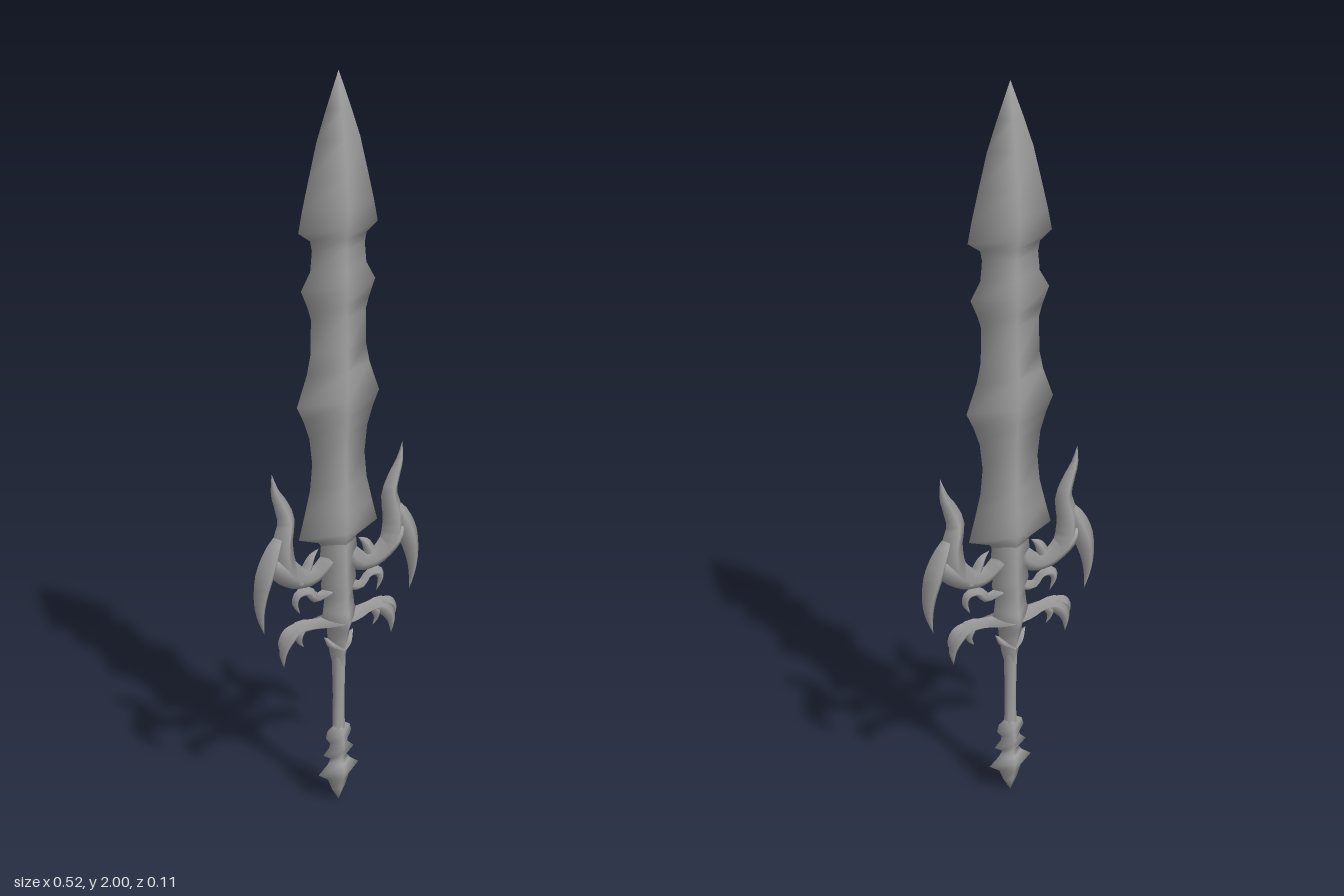
import * as THREE from 'three';
import { mergeVertices } from 'three/addons/utils/BufferGeometryUtils.js';

const steel = new THREE.MeshStandardMaterial({ color: 0xa0a0a0 });
steel.name = 'steel';

// Skins smooth rings around a spine of [x, y, halfWidth, halfDepth] stations.
function loft(stations, sides = 4) {
  const pos = [], index = [];
  stations.forEach(([x, y, w, d], i) => {
    const a = stations[Math.max(i - 1, 0)];
    const b = stations[Math.min(i + 1, stations.length - 1)];
    const t = new THREE.Vector2(b[0] - a[0], b[1] - a[1]).normalize();
    for (let k = 0; k < sides; k++) {
      const u = (k / sides) * Math.PI * 2;
      const c = Math.cos(u) * w;
      pos.push(x + t.y * c, y - t.x * c, Math.sin(u) * d);
      if (i === 0) continue;
      const n = (k + 1) % sides, lo = (i - 1) * sides, hi = i * sides;
      index.push(lo + n, lo + k, hi + k, lo + n, hi + k, hi + n);
    }
  });
  const g = new THREE.BufferGeometry();
  g.setAttribute('position', new THREE.Float32BufferAttribute(pos, 3));
  g.setIndex(index);
  const merged = mergeVertices(g, 1e-5);
  merged.computeVertexNormals();
  return merged;
}

// Smooths a few stations into a flowing claw.
function flow(points, steps = 14) {
  const spine = new THREE.CatmullRomCurve3(points.map(p => new THREE.Vector3(p[0], p[1], 0)));
  const size = new THREE.CatmullRomCurve3(points.map(p => new THREE.Vector3(p[2], p[3], 0)));
  spine.curveType = size.curveType = 'catmullrom';
  return Array.from({ length: steps + 1 }, (_, i) => {
    const p = spine.getPoint(i / steps), s = size.getPoint(i / steps);
    return [p.x, p.y, Math.max(s.x, 0), Math.max(s.y, 0)];
  });
}

export function createModel() {
  const group = new THREE.Group();
  const add = (name, geometry) => {
    const mesh = new THREE.Mesh(geometry, steel);
    mesh.name = name;
    group.add(mesh);
  };
  const upright = rows => rows.map(([y, w, d]) => [0, y, w, d]);

  // Waisted blade with a diamond section
  add('blade', loft(upright([
    [0.78, 0.045, 0.03], [0.805, 0.062, 0.036], [0.828, 0.122, 0.039], [0.89, 0.105, 0.038], [0.96, 0.087, 0.036],
    [1.03, 0.08, 0.034], [1.1, 0.088, 0.036], [1.15, 0.105, 0.04], [1.19, 0.124, 0.042],
    [1.27, 0.094, 0.041], [1.32, 0.083, 0.038], [1.41, 0.081, 0.034], [1.44, 0.09, 0.036],
    [1.485, 0.109, 0.037], [1.53, 0.082, 0.035], [1.58, 0.077, 0.033], [1.605, 0.082, 0.034],
    [1.628, 0.115, 0.04], [1.68, 0.104, 0.045], [1.75, 0.086, 0.038], [1.84, 0.062, 0.025],
    [1.91, 0.036, 0.014], [2, 0, 0],
  ])));

  // Core joining the blade to the grip
  add('guardCore', loft(upright([
    [0.43, 0.018, 0.018], [0.47, 0.028, 0.026], [0.51, 0.034, 0.034], [0.55, 0.038, 0.046],
    [0.575, 0.058, 0.054], [0.6, 0.05, 0.048], [0.64, 0.045, 0.043], [0.68, 0.056, 0.041],
    [0.72, 0.05, 0.038], [0.77, 0.058, 0.036], [0.84, 0.05, 0.03],
  ])));

  add('grip', loft(upright([[0.23, 0.018, 0.017], [0.33, 0.016, 0.016], [0.46, 0.019, 0.019]]), 8));

  // Stepped pommel ending in a point
  add('pommel', loft(upright([
    [0, 0, 0], [0.04, 0.022, 0.014], [0.075, 0.035, 0.024], [0.1, 0.066, 0.03], [0.125, 0.036, 0.024],
    [0.14, 0.026, 0.016], [0.158, 0.05, 0.018], [0.178, 0.03, 0.03], [0.19, 0.028, 0.028],
    [0.21, 0.042, 0.022], [0.232, 0.036, 0.019], [0.245, 0.016, 0.016],
  ])));

  // Claws of one side: [x, y, halfWidth, halfDepth]
  const claws = {
    wingArm: [[0.03, 0.75, 0.03, 0.02], [0.08, 0.715, 0.026, 0.02], [0.13, 0.725, 0.032, 0.025],
      [0.18, 0.77, 0.036, 0.03], [0.21, 0.81, 0, 0]],
    upperHorn: [[0.12, 0.71, 0.02, 0.02], [0.165, 0.765, 0.034, 0.032], [0.172, 0.83, 0.032, 0.033],
      [0.16, 0.89, 0.026, 0.026], [0.175, 0.94, 0.02, 0.017], [0.192, 0.98, 0.012, 0.01], [0.2, 1.03, 0, 0]],
    lowerHorn: [[0.165, 0.88, 0, 0], [0.195, 0.83, 0.022, 0.024], [0.222, 0.765, 0.03, 0.032],
      [0.238, 0.7, 0.022, 0.024], [0.24, 0.645, 0.012, 0.013], [0.23, 0.588, 0, 0]],
    innerSpur: [[0.1, 0.74, 0.018, 0.016], [0.085, 0.77, 0.012, 0.012], [0.062, 0.79, 0, 0]],
    curl: [[0.03, 0.66, 0.016, 0.018], [0.07, 0.65, 0.014, 0.016], [0.095, 0.675, 0.013, 0.015],
      [0.125, 0.675, 0.014, 0.014], [0.135, 0.65, 0.009, 0.01], [0.12, 0.615, 0, 0]],
    crossbar: [[0, 0.57, 0.016, 0.045], [0.05, 0.57, 0.016, 0.035], [0.09, 0.575, 0.017, 0.024],
      [0.13, 0.575, 0.023, 0.022], [0.158, 0.55, 0.022, 0.02], [0.173, 0.515, 0.013, 0.012], [0.172, 0.472, 0, 0]],
    lowerBarb: [[0.105, 0.58, 0.012, 0.014], [0.122, 0.558, 0.015, 0.014], [0.122, 0.535, 0.008, 0.008],
      [0.11, 0.515, 0, 0]],
    outerBarb: [[0.12, 0.583, 0.012, 0.014], [0.16, 0.575, 0.014, 0.016], [0.18, 0.553, 0.009, 0.01],
      [0.187, 0.53, 0, 0]],
    collarSpike: [[0, 0.485, 0.014, 0.034], [0.025, 0.5, 0.012, 0.024], [0.047, 0.525, 0, 0]],
  };
  for (const [side, s] of [['left', 1], ['right', -1]]) {
    for (const [name, points] of Object.entries(claws)) {
      const mirrored = points.map(([x, y, w, d]) => [x * s, y, w, d]);
      add(side + name[0].toUpperCase() + name.slice(1), loft(flow(mirrored)));
    }
  }
  return group;
}
